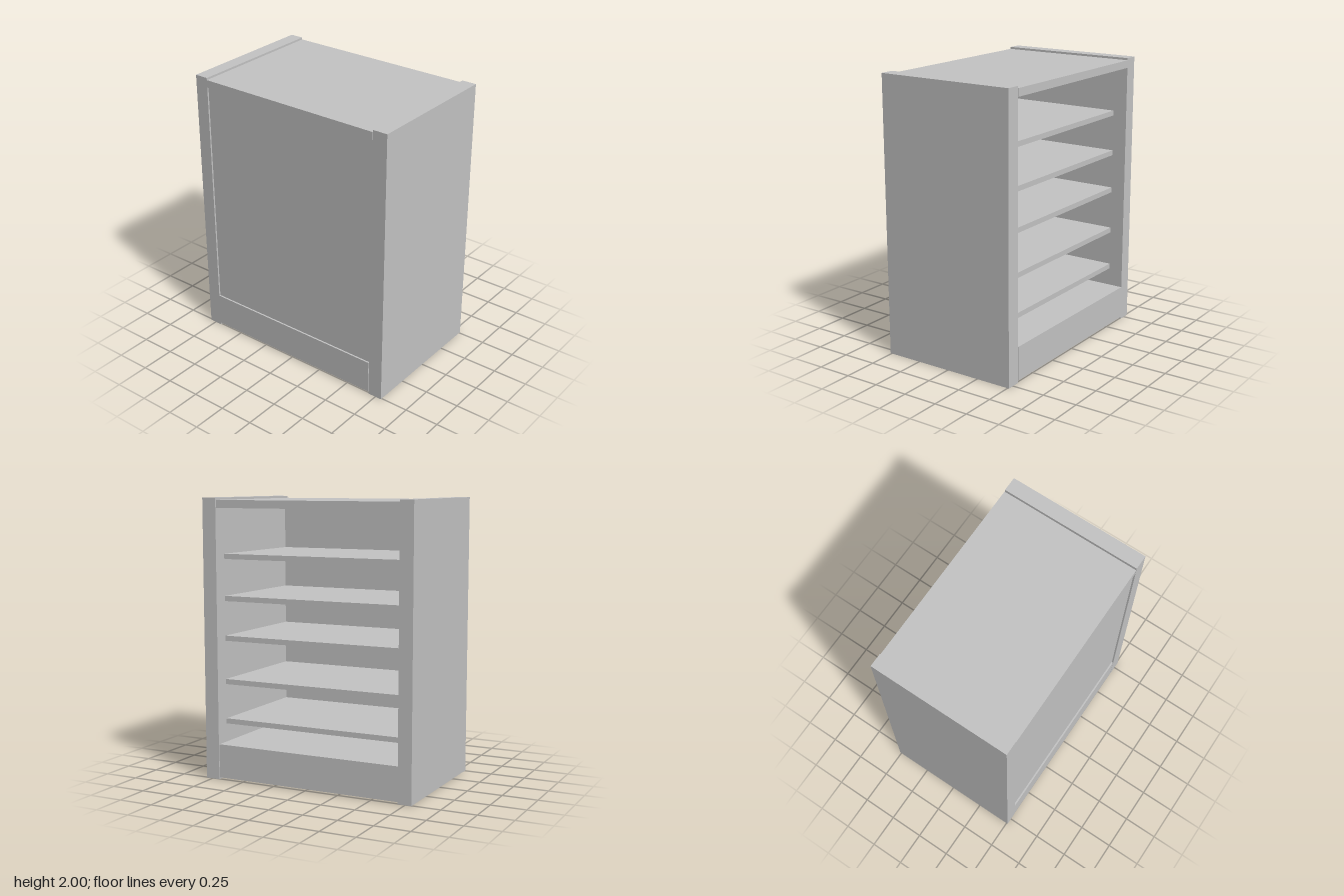
import * as THREE from 'three';

export function createModel() {
  const group = new THREE.Group();
  const grey = new THREE.MeshStandardMaterial({ color: 0xc4c4c4 });
  grey.name = 'plain grey';

  // Box given by its minimum and maximum corners
  function board(name, [x0, y0, z0], [x1, y1, z1]) {
    const mesh = new THREE.Mesh(new THREE.BoxGeometry(x1 - x0, y1 - y0, z1 - z0), grey);
    mesh.position.set((x0 + x1) / 2, (y0 + y1) / 2, (z0 + z1) / 2);
    mesh.name = name;
    group.add(mesh);
  }

  const halfDepth = 0.51;
  const outer = 0.797;
  const inner0 = -0.698; // carcass boards meet the side at -x
  const inner1 = 0.686; // and leave a narrow gap at +x
  const wall = 0.691;

  // Side panels, a little taller than the carcass
  board('rightSide', [-outer, 0, -halfDepth], [inner0, 2, halfDepth]);
  board('leftSide', [wall, 0, -halfDepth], [outer, 2, halfDepth]);

  // Top board and plinth
  board('topBoard', [inner0, 1.93, -halfDepth], [inner1, 1.985, halfDepth]);
  board('plinth', [inner0, 0.015, -halfDepth], [inner1, 0.257, halfDepth]);

  // Closed front, slightly set back and reaching down into the plinth
  board('frontPanel', [inner0, 0.07, 0.475], [wall, 1.93, 0.498]);

  // Shelves, set back from the open rear
  const shelfTops = [0.425, 0.712, 1.025, 1.309, 1.607];
  for (const top of shelfTops) {
    board('shelf', [inner0, top - 0.037, -0.404], [wall, top, 0.475]);
  }
  return group;
}
